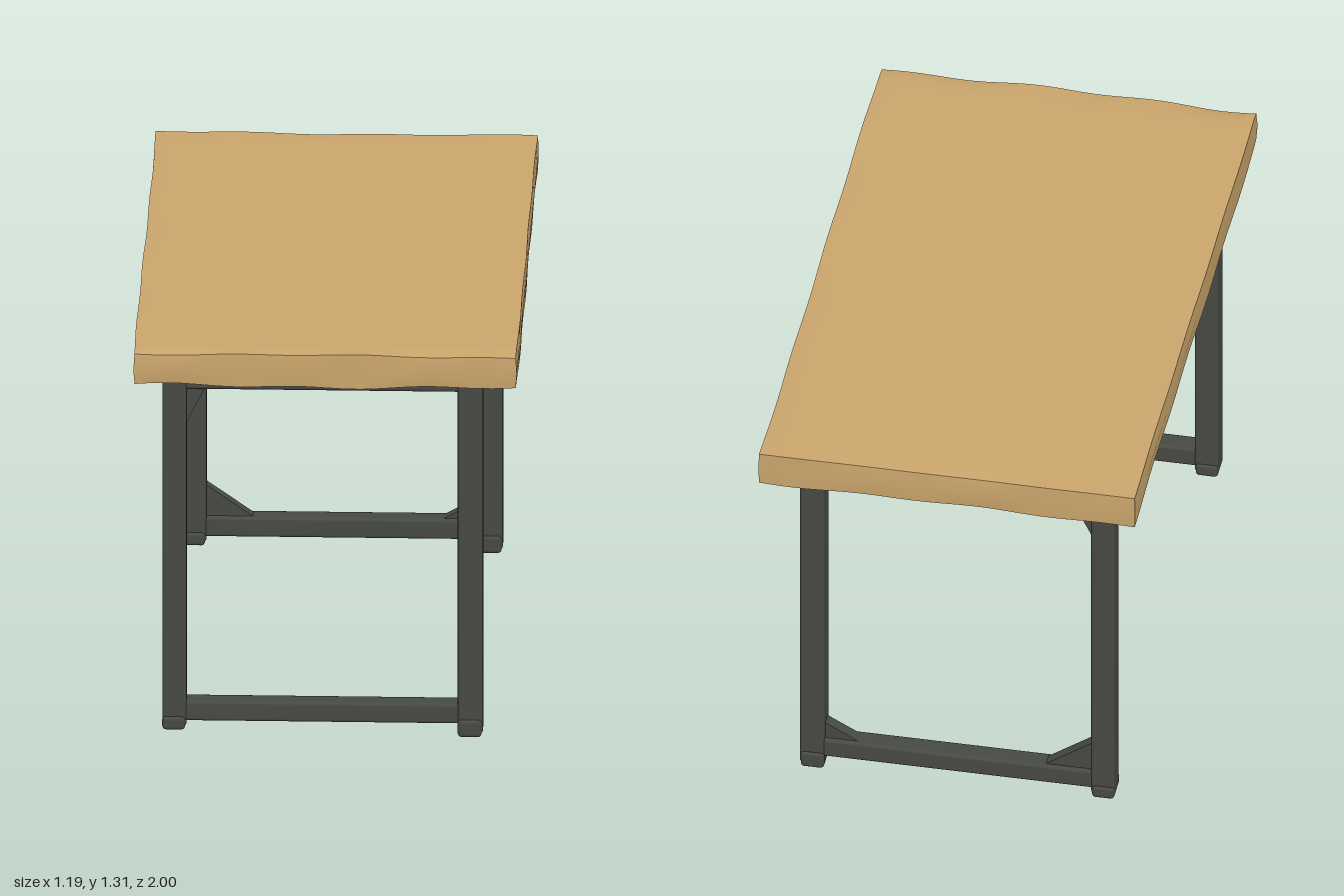
import * as THREE from 'three';
import { RoundedBoxGeometry } from 'three/addons/geometries/RoundedBoxGeometry.js';

const wood = new THREE.MeshStandardMaterial({ color: 0xcaa56c });
wood.name = 'warm wood';
const metal = new THREE.MeshStandardMaterial({ color: 0x474943 });
metal.name = 'dark metal';

// Softly rounded bar given by its minimum and maximum corners
function bar(name, x0, x1, y0, y1, z0, z1, radius = 0.01) {
  const geo = new RoundedBoxGeometry(x1 - x0, y1 - y0, z1 - z0, 2, radius);
  const mesh = new THREE.Mesh(geo, metal);
  mesh.name = name;
  mesh.position.set((x0 + x1) / 2, (y0 + y1) / 2, (z0 + z1) / 2);
  return mesh;
}

// Triangular corner brace; dx and dy run from the corner into the opening
function brace(name, x, y, dx, dy, z) {
  const shape = new THREE.Shape([
    new THREE.Vector2(x, y), new THREE.Vector2(x + dx, y), new THREE.Vector2(x, y + dy),
  ]);
  const geo = new THREE.ExtrudeGeometry(shape, { depth: 0.04, bevelEnabled: false });
  geo.translate(0, 0, z - 0.02);
  const mesh = new THREE.Mesh(geo, metal);
  mesh.name = name;
  return mesh;
}

// Thick slab with a gently worn, uneven rim
function tableTop() {
  const geo = new THREE.BoxGeometry(1.19, 0.115, 2, 32, 2, 48);
  const p = geo.attributes.position;
  for (let i = 0; i < p.count; i++) {
    const x = p.getX(i), y = p.getY(i), z = p.getZ(i);
    const rim = Math.abs(x) > 0.59 || Math.abs(z) > 0.99;
    if (!rim) continue;
    const wear = 0.5 + 0.5 * Math.sin(x * 11 + z * 7) * Math.cos(x * 5 - z * 4);
    const amount = z > 0.99 ? 0.012 : 0.005;
    if (Math.abs(y) > 0.05) {
      p.setY(i, y - Math.sign(y) * amount * wear);
      if (Math.abs(x) > 0.59) p.setX(i, x - Math.sign(x) * 0.005 * wear);
      if (Math.abs(z) > 0.99) p.setZ(i, z - Math.sign(z) * 0.008 * wear);
    }
  }
  geo.computeVertexNormals();
  const mesh = new THREE.Mesh(geo, wood);
  mesh.name = 'tableTop';
  mesh.position.y = 1.253;
  return mesh;
}

// Closed rectangular leg frame centred on depth z
function legFrame(name, z, shift) {
  const frame = new THREE.Group();
  frame.name = name;
  const legs = [[-0.51 + shift, -0.435 + shift, 0.018, 'right'], [0.407 + shift, 0.485 + shift, 0.004, 'left']];
  for (const [x0, x1, foot, side] of legs) {
    frame.add(bar(side + 'Leg', x0, x1, foot + 0.01, 1.2, z - 0.04, z + 0.04));
    frame.add(bar(side + 'Foot', x0, x1 - 0.004, foot, 0.062, z - 0.048, z + 0.048, 0.012));
  }
  frame.add(bar('bottomRail', -0.45, 0.43, 0.045, 0.11, z - 0.035, z + 0.035));
  frame.add(bar('topRail', -0.45, 0.43, 1.14, 1.2, z - 0.035, z + 0.035));
  frame.add(brace('upperBrace', -0.437 + shift, 1.142, 0.06, -0.12, z));
  return frame;
}

export function createModel() {
  const table = new THREE.Group();
  table.name = 'table';
  const front = legFrame('frontFrame', 0.832, 0);
  const back = legFrame('backFrame', -0.828, 0.006);
  // Lower braces on the back frame
  back.add(brace('lowerRightBrace', -0.432, 0.108, 0.15, 0.105, -0.828));
  back.add(brace('lowerLeftBrace', 0.415, 0.108, -0.11, 0.06, -0.828));
  // Small flare where the front right leg meets the top
  front.add(brace('outerFlare', -0.505, 1.198, -0.05, -0.04, 0.845));
  table.add(tableTop(), front, back);
  // Triangles drawn clockwise are reordered by the extrusion, so all faces point outward
  return table;
}
